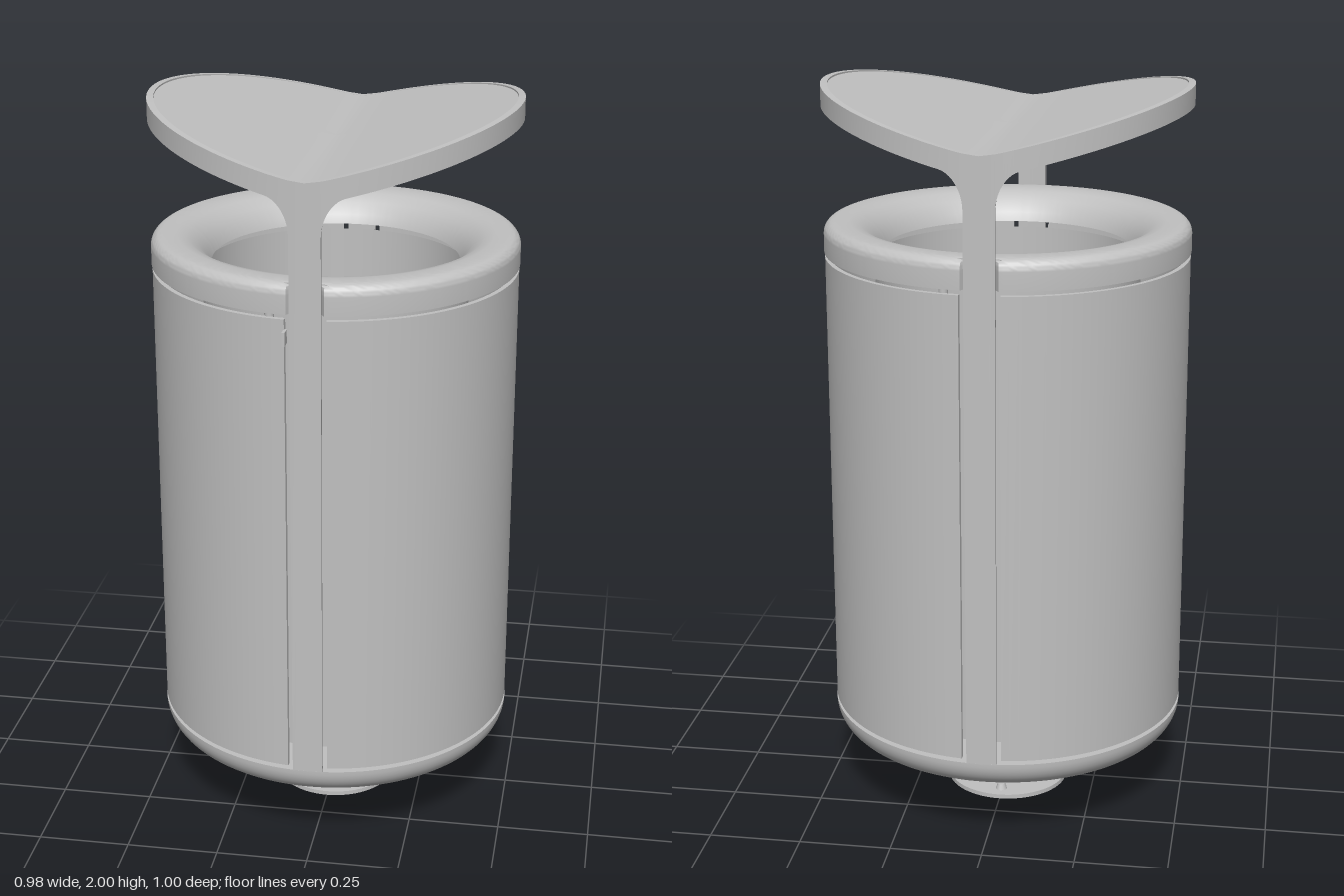
import * as THREE from 'three';
import { toCreasedNormals } from 'three/addons/utils/BufferGeometryUtils.js';

const R = 0.488;
const steel = new THREE.MeshStandardMaterial({ color: 0xc0c0c0 });
steel.name = 'brushed steel';
const sheetSteel = new THREE.MeshStandardMaterial({ color: 0xc0c0c0, side: THREE.DoubleSide });
sheetSteel.name = 'sheet steel';

// Height of the shallow V canopy, softly rounded at the valley
const roof = (x) => 1.883 + Math.hypot(0.24 * x, 0.006);

// Curved wall of given inner and outer radius; stations are [angle, bottom, top]
function curvedWall(stations, rIn, rOut, closed) {
  const pos = [];
  const sections = stations.map(([a, y0, y1]) =>
    [[rOut, y0], [rOut, y1], [rIn, y1], [rIn, y0]].map(([r, y]) => [r * Math.sin(a), y, r * Math.cos(a)]));
  const quad = (a, b, c, d) => pos.push(...a, ...b, ...c, ...a, ...c, ...d);
  const n = sections.length;
  for (let i = 0; i < (closed ? n : n - 1); i++) {
    const s = sections[i], t = sections[(i + 1) % n];
    for (let k = 0; k < 4; k++) quad(s[k], t[k], t[(k + 1) % 4], s[(k + 1) % 4]);
  }
  if (!closed) {
    const s = sections[0], t = sections[n - 1];
    quad(s[0], s[1], s[2], s[3]);
    quad(t[3], t[2], t[1], t[0]);
  }
  const g = new THREE.BufferGeometry();
  g.setAttribute('position', new THREE.Float32BufferAttribute(pos, 3));
  return toCreasedNormals(g, 0.5);
}

function lathe(points, segments = 128) {
  return new THREE.LatheGeometry(points.map(([r, y]) => new THREE.Vector2(r, y)), segments);
}

// Rounded corner points from angle a0 to a1
function arc(cx, cy, r, a0, a1, n = 8) {
  return Array.from({ length: n + 1 }, (_, i) => {
    const a = a0 + ((a1 - a0) * i) / n;
    return [cx + r * Math.cos(a), cy + r * Math.sin(a)];
  });
}

export function createModel() {
  const model = new THREE.Group();
  const body = new THREE.Group();
  body.name = 'litterBin';
  body.position.z = -0.009;
  model.add(body);
  const add = (name, geometry, x = 0, y = 0, z = 0, material = steel) => {
    const m = new THREE.Mesh(geometry, material);
    m.name = name;
    m.position.set(x, y, z);
    body.add(m);
    return m;
  };

  // Canopy rim flowing through fillets into the front and back posts
  const edge = Math.asin(0.04 / R), filletEnd = 0.1;
  const quarter = [[0, 0.268], [edge, 0.268]];
  for (let i = 0; i <= 10; i++) {
    const f = Math.cos((i / 10) * Math.PI / 2);
    const x = filletEnd - f * (filletEnd - 0.04);
    quarter.push([Math.asin(x / R), roof(x) - 0.055 - 0.085 * (1 - Math.sqrt(1 - f * f))]);
  }
  const start = Math.asin(filletEnd / R);
  for (let i = 1; i <= 28; i++) {
    const a = start + ((Math.PI / 2 - start) * i) / 28;
    quarter.push([a, roof(R * Math.sin(a)) - 0.055]);
  }
  const stations = [];
  for (const c of [0, Math.PI]) {
    const side = [...quarter].reverse().map(([a, y]) => [c - a, y]);
    for (const [a, y] of [...side, ...quarter.map(([a, y]) => [c + a, y])])
      stations.push([a, y, roof(R * Math.sin(a))]);
  }
  add('canopyRimAndPosts', curvedWall(stations, R - 0.018, R, true));

  // Thin V-shaped canopy sheet, upper and lower skins
  for (const [name, drop, flip] of [['canopyTop', 0, -1], ['canopyUnderside', 0.014, 1]]) {
    const g = new THREE.RingGeometry(0.001, R - 0.002, 128, 24);
    g.rotateX(flip * Math.PI / 2);
    const p = g.attributes.position;
    for (let i = 0; i < p.count; i++) p.setY(i, roof(p.getX(i)) - drop);
    g.computeVertexNormals();
    add(name, g);
  }

  // Two curved side panels separated by the posts
  const gap = Math.asin(0.053 / R);
  for (const [name, c] of [['leftPanel', 0], ['rightPanel', Math.PI]]) {
    const s = [];
    for (let i = 0; i <= 64; i++) s.push([c + gap + ((Math.PI - 2 * gap) * i) / 64, 0.281, 1.543]);
    add(name, curvedWall(s, 0.474, 0.487, false));
  }

  // Top ring with a funnel mouth, notched where the posts pass
  const ring = lathe([
    [0.33, 1.556], [0.489, 1.556], [0.489, 1.605],
    ...arc(0.459, 1.605, 0.03, 0, Math.PI / 2),
    [0.42, 1.635], [0.395, 1.629], [0.365, 1.61], [0.34, 1.58], [0.33, 1.556],
  ], 256);
  const rp = ring.attributes.position;
  for (let i = 0; i < rp.count; i++) {
    if (Math.abs(rp.getX(i)) < 0.047 && Math.abs(rp.getZ(i)) > 0.467) rp.setZ(i, Math.sign(rp.getZ(i)) * 0.467);
  }
  add('topRing', toCreasedNormals(ring, 0.6));

  // Inner liner with floor
  add('liner', toCreasedNormals(lathe([[0, 0.262], [0.355, 0.262], [0.355, 1.535]], 96), 0.6), 0, 0, 0, sheetSteel);

  // Rounded bottom pan, open in the middle
  add('bottomPan', toCreasedNormals(lathe([
    [0.3, 0.27], [0.3, 0.187],
    ...arc(0.408, 0.267, 0.08, -Math.PI / 2, -0.1, 10),
    [0.488, 0.27], [0.3, 0.27],
  ]), 0.6));

  // Support plate with four cut-outs leaving a cross of arms
  const plate = new THREE.Shape().absarc(0, 0, 0.302, 0, Math.PI * 2);
  for (let i = 0; i < 4; i++) {
    const a = (i * Math.PI) / 2;
    const hole = new THREE.Path();
    hole.absarc(0, 0, 0.25, a + 0.22, a + Math.PI / 2 - 0.22, false);
    hole.absarc(0, 0, 0.13, a + Math.PI / 2 - 0.42, a + 0.42, true);
    hole.closePath();
    plate.holes.push(hole);
  }
  const plateGeo = new THREE.ExtrudeGeometry(plate, { depth: 0.015, bevelEnabled: false, curveSegments: 32 });
  plateGeo.rotateX(-Math.PI / 2);
  add('supportPlate', plateGeo, 0, 0.205, 0);

  // Pole, floor flange and bolts
  add('pole', new THREE.CylinderGeometry(0.081, 0.081, 0.25, 48), 0, 0.135, 0);
  add('flange', new THREE.CylinderGeometry(0.169, 0.169, 0.012, 64), 0, 0.006, 0);
  for (let i = 0; i < 4; i++) {
    const a = (i * Math.PI) / 2;
    add('flangeBolt', new THREE.CylinderGeometry(0.01, 0.016, 0.016, 12), 0.128 * Math.sin(a), 0.02, 0.128 * Math.cos(a));
  }

  // Lock tab beside the front post, and small panel pins
  add('lockTab', new THREE.BoxGeometry(0.008, 0.036, 0.03), -0.051, 1.498, 0.492);
  for (const z of [1, -1])
    add('panelPin', new THREE.CylinderGeometry(0.012, 0.012, 0.025, 12), -0.095 * z, 1.55, 0.455 * z);

  return model;
}
